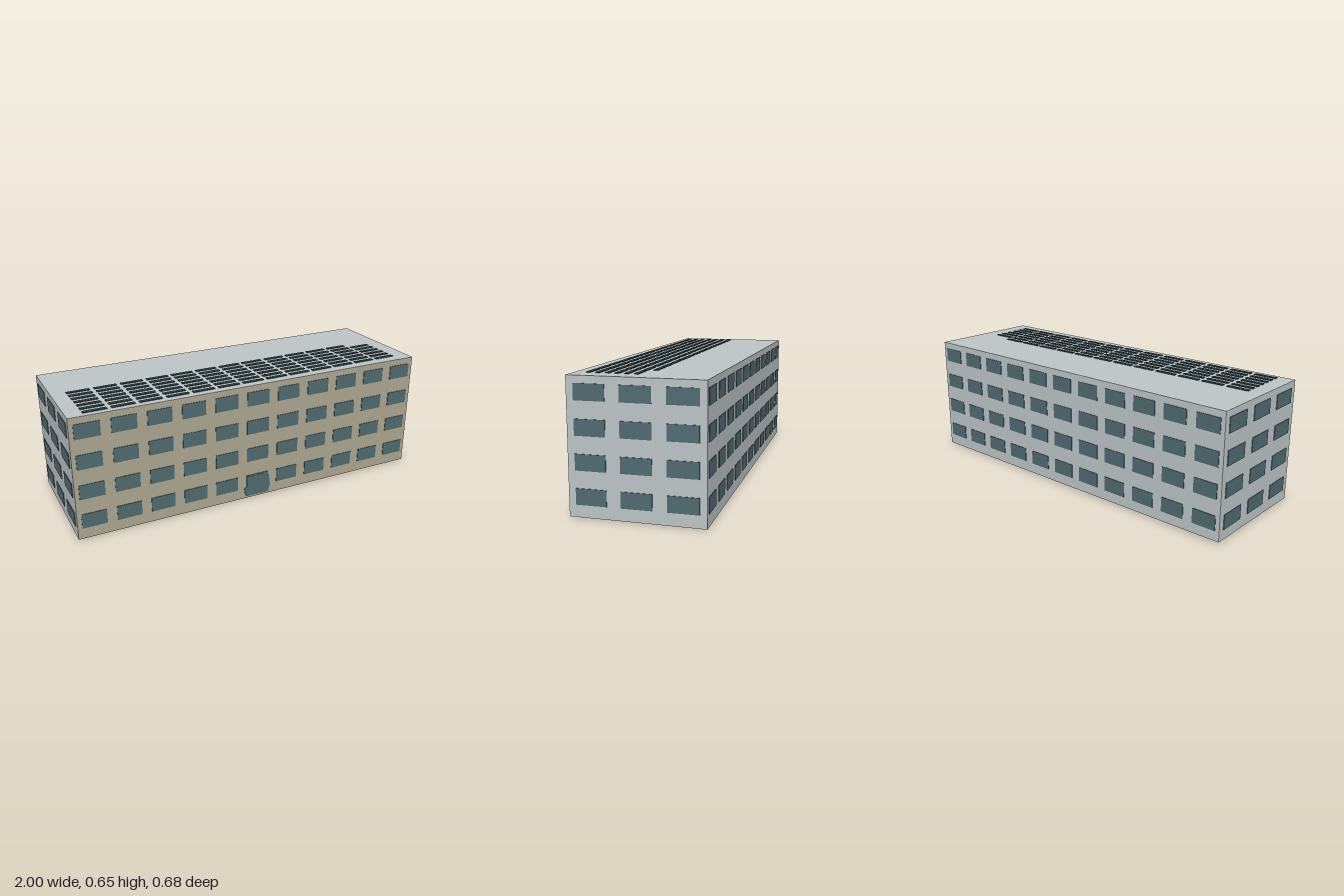
import * as THREE from 'three';

const LENGTH = 1.981, DEPTH = 0.643, HEIGHT = 0.65, TURN = -0.0152;

const mat = (name, color) => {
  const m = new THREE.MeshStandardMaterial({ color });
  m.name = name;
  return m;
};

export function createModel() {
  const wallGrey = mat('light grey wall', 0xbcc4c6);
  const tan = mat('tan facade', 0xaca690);
  const glass = mat('teal glass', 0x4f6a70);
  const panelDark = mat('dark panel', 0x2d444a);

  const model = new THREE.Group();
  model.name = 'officeBlock';

  // Building, turned slightly on its plot
  const building = new THREE.Group();
  building.name = 'building';
  building.rotation.y = TURN;
  model.add(building);

  // Main block: tan front, grey elsewhere, base following sloping ground
  const geo = new THREE.BoxGeometry(LENGTH, HEIGHT, DEPTH).translate(0, HEIGHT / 2, 0);
  const pos = geo.attributes.position;
  for (let i = 0; i < pos.count; i++) {
    if (pos.getY(i) > 0.1) continue;
    const left = pos.getX(i) < 0, front = pos.getZ(i) > 0;
    pos.setY(i, front ? 0.003 : left ? 0.01 : 0);
  }
  const walls = new THREE.Mesh(geo, [wallGrey, wallGrey, wallGrey, wallGrey, tan, wallGrey]);
  walls.name = 'walls';
  building.add(walls);

  // Window grids, one per facade
  const addFacade = (name, angle, distance, columns, width, spacing) => {
    const facade = new THREE.Group();
    facade.name = name;
    facade.rotation.y = angle;
    const pane = new THREE.BoxGeometry(width, 0.077, 0.006);
    for (let row = 0; row < 4; row++) {
      for (let c = 0; c < columns; c++) {
        const w = new THREE.Mesh(pane, glass);
        w.name = 'window';
        w.position.set((c - (columns - 1) / 2) * spacing, 0.1 + row * 0.159, distance);
        facade.add(w);
      }
    }
    building.add(facade);
  };
  addFacade('frontWindows', 0, DEPTH / 2, 11, 0.128, 0.1807);
  addFacade('backWindows', Math.PI, DEPTH / 2, 11, 0.128, 0.1807);
  addFacade('leftWindows', Math.PI / 2, LENGTH / 2, 3, 0.147, 0.214);
  addFacade('rightWindows', -Math.PI / 2, LENGTH / 2, 3, 0.147, 0.214);

  // Entrance glazing below the middle window
  const outline = [
    [-0.066, 0.014], [0.068, 0.014], [0.078, 0.06], [0.07, 0.115], [0.06, 0.115],
    [0.06, 0.13], [-0.06, 0.13], [-0.06, 0.075], [-0.079, 0.06], [-0.076, 0.04],
  ].map(([x, y]) => new THREE.Vector2(x, y));
  const entrance = new THREE.Mesh(
    new THREE.ExtrudeGeometry(new THREE.Shape(outline), { depth: 0.004, bevelEnabled: false }), glass);
  entrance.name = 'entrance';
  entrance.position.z = DEPTH / 2;
  building.add(entrance);

  // Roof panels: seven rows of thirteen, the rear row one short
  const roofPanels = new THREE.Group();
  roofPanels.name = 'roofPanels';
  const panelGeo = new THREE.BoxGeometry(0.119, 0.004, 0.02);
  for (let row = 0; row < 7; row++) {
    for (let c = 0; c < (row === 6 ? 12 : 13); c++) {
      const p = new THREE.Mesh(panelGeo, panelDark);
      p.name = 'roofPanel';
      p.position.set(-0.853 + c * 0.1408, HEIGHT + 0.002, 0.267 - row * 0.0455);
      roofPanels.add(p);
    }
  }
  model.add(roofPanels);

  return model;
}
